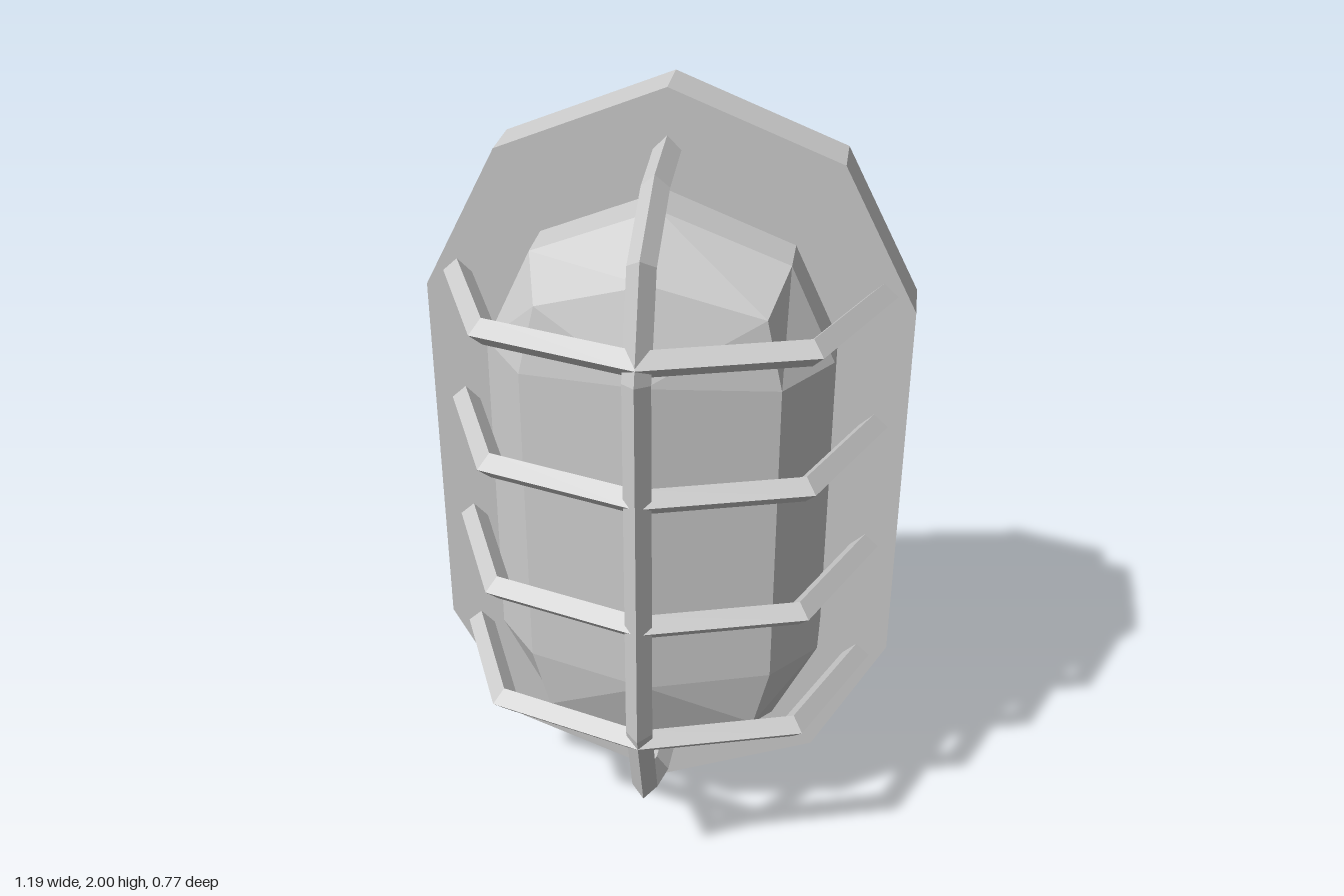
import * as THREE from 'three';

const MID = 1; // height of the lamp's centre

// Ten-sided ring, clockwise from the top, mirrored from one quarter of [x, y, z]
function ring(quarter) {
  const [a, b, c] = quarter;
  const right = [a, b, c, ...[c, b, a].map(([x, y, z]) => [x, -y, z])];
  const left = [right[4], right[3], right[2], right[1]].map(([x, y, z]) => [-x, y, z]);
  return [...right, ...left];
}

// Flat-faced geometry from four-cornered faces
function fromQuads(quads) {
  const pos = quads.flatMap(([a, b, c, d]) => [a, b, c, a, c, d].flat());
  const g = new THREE.BufferGeometry();
  g.setAttribute('position', new THREE.Float32BufferAttribute(pos, 3));
  g.computeVertexNormals();
  return g;
}

// Faces between a rear ring and the ring in front of it
function strip(rear, front) {
  return rear.map((p, i) => {
    const j = (i + 1) % rear.length;
    return [p, front[i], front[j], rear[j]];
  });
}

function plateGeometry(quarter, z0, z1) {
  const pts = ring(quarter.map(([x, y]) => [x, y, 0])).map(([x, y]) => new THREE.Vector2(x, y));
  const g = new THREE.ExtrudeGeometry(new THREE.Shape(pts), { depth: z1 - z0, bevelEnabled: false });
  return g.translate(0, 0, z0);
}

function domeGeometry() {
  const rim = ring([[0, 0.76, 0.03], [0.305, 0.64, 0.02], [0.415, 0.41, 0.03]]);
  const base = rim.map(([x, y]) => [x, y, -0.12]);
  const inner = ring([[0, 0.64, 0.18], [0.266, 0.567, 0.165], [0.305, 0.4, 0.177]]);
  const top = [0, 0.42, 0.25], bottom = [0, -0.42, 0.25];
  const r = inner;
  const cap = [
    [r[0], r[1], r[2], top], [r[2], r[3], bottom, top], [r[3], r[4], r[5], bottom],
    [r[5], r[6], r[7], bottom], [r[7], r[8], top, bottom], [r[8], r[9], r[0], top],
  ].map((q) => q.reverse());
  return fromQuads([...strip(base, rim), ...strip(rim, inner), ...cap]);
}

// Diamond-section bar swept along a mitred path of [x, z] points
function barGeometry(half, r) {
  const path = [...half.map(([x, z]) => [-x, z]), ...half.filter(([x]) => x > 0).reverse()];
  const dirs = path.slice(1).map((p, i) =>
    new THREE.Vector2(p[0] - path[i][0], p[1] - path[i][1]).normalize());
  const rings = path.map(([x, z], i) => {
    const d0 = dirs[Math.max(i - 1, 0)], d1 = dirs[Math.min(i, dirs.length - 1)];
    const t = d0.clone().add(d1).normalize();
    const m = r / t.dot(d0);
    const nx = -t.y * m, nz = t.x * m;
    return [[x + nx, 0, z + nz], [x, -r, z], [x - nx, 0, z - nz], [x, r, z]];
  });
  const quads = [[...rings[0]].reverse(), rings[rings.length - 1]];
  for (let i = 0; i < rings.length - 1; i++) {
    for (let k = 0; k < 4; k++) {
      const n = (k + 1) % 4;
      quads.push([rings[i][k], rings[i][n], rings[i + 1][n], rings[i + 1][k]]);
    }
  }
  return fromQuads(quads);
}

export function createModel() {
  const model = new THREE.Group();
  model.name = 'bulkheadLamp';
  const grey = new THREE.MeshStandardMaterial({ color: 0xcccccc });
  grey.name = 'lightGrey';
  grey.flatShading = true;

  const add = (name, geometry, y = MID) => {
    const mesh = new THREE.Mesh(geometry, grey);
    mesh.name = name;
    mesh.position.y = y;
    model.add(mesh);
  };

  // Mounting plates
  add('frontPlate', plateGeometry([[0, 1], [0.41, 0.838], [0.595, 0.487]], -0.245, -0.105));
  add('backPlate', plateGeometry([[0, 0.922], [0.36, 0.783], [0.52, 0.475]], -0.385, -0.245));

  // Lamp cover
  add('domeCover', domeGeometry());

  // Guard cage: four cross bars and one upright
  const crossBar = barGeometry([[0.526, -0.13], [0.373, 0.224], [0, 0.34]], 0.033);
  [1.525, 1.178, 0.83, 0.483].forEach((y, i) => add(`crossBar${i + 1}`, crossBar, y));
  const upright = barGeometry([[0.859, -0.13], [0.83, 0.073], [0.722, 0.269], [0.482, 0.352]], 0.033);
  add('uprightBar', upright.rotateZ(Math.PI / 2));

  return model;
}
